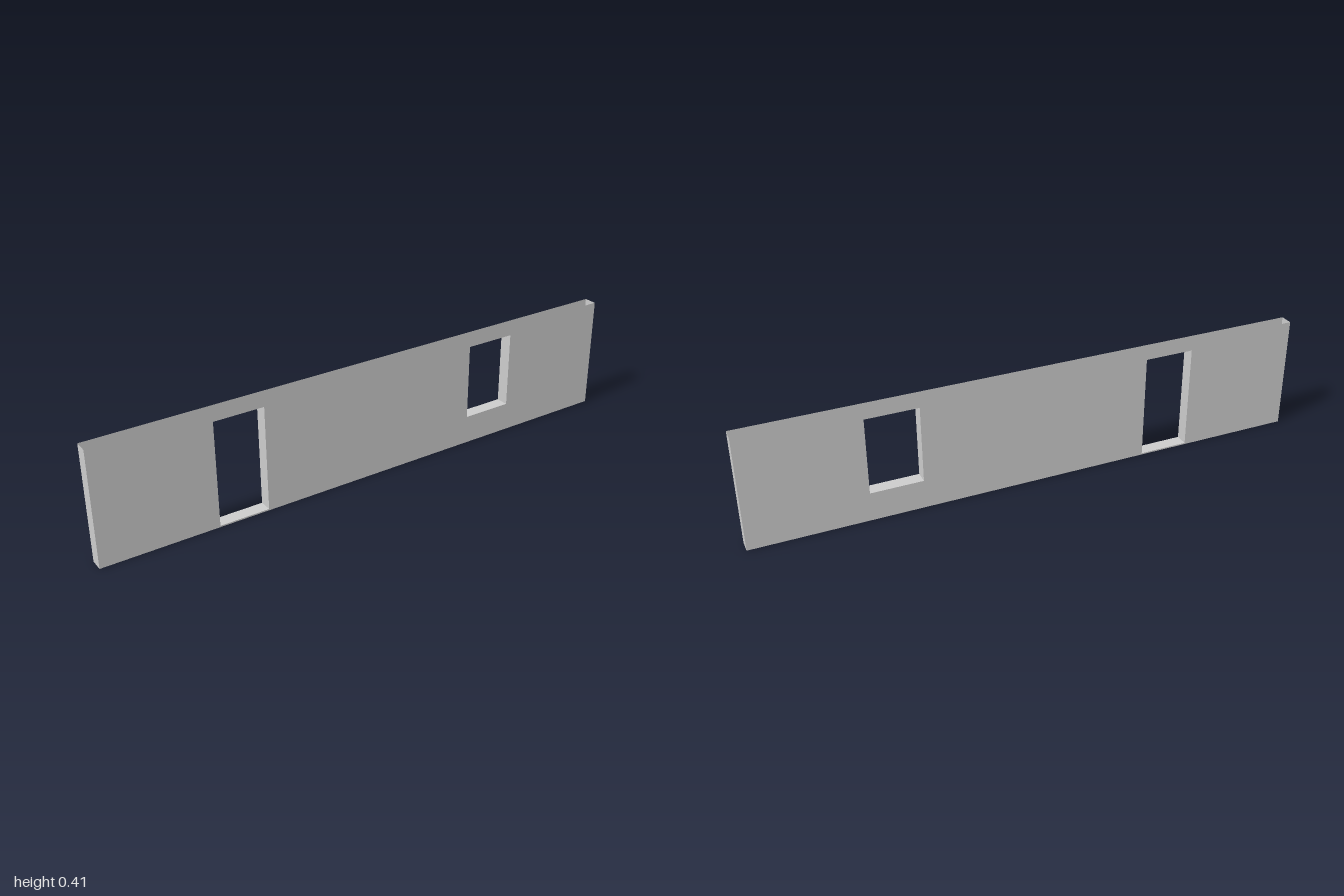
import * as THREE from 'three';

const HEIGHT = 0.41, HALF = 0.0235;
const OPENINGS = [
  { name: 'door', x0: -0.592, x1: -0.414, y0: 0.005, y1: 0.379 },
  { name: 'window', x0: 0.406, x1: 0.59, y0: 0.104, y1: 0.378 },
];

export function createModel() {
  const group = new THREE.Group();
  group.name = 'wall';
  const material = new THREE.MeshStandardMaterial({
    color: 0xcccccc, flatShading: true, side: THREE.DoubleSide,
  });

  const add = (name, geometry, parent = group) => {
    const mesh = new THREE.Mesh(geometry, material);
    mesh.name = name;
    parent.add(mesh);
    return mesh;
  };

  const rectangle = (Type, { x0, x1, y0, y1 }) => new Type([
    new THREE.Vector2(x0, y0), new THREE.Vector2(x1, y0),
    new THREE.Vector2(x1, y1), new THREE.Vector2(x0, y1),
  ]);

  // Upright strip across the wall thickness, facing left or right
  const upright = (name, x, y0, y1, facing, parent) => {
    const g = new THREE.PlaneGeometry(2 * HALF, y1 - y0).rotateY(facing * Math.PI / 2);
    add(name, g, parent).position.set(x, (y0 + y1) / 2, 0);
  };

  // Level strip across the wall thickness, facing up or down
  const level = (name, y, x0, x1, facing, parent) => {
    const g = new THREE.PlaneGeometry(x1 - x0, 2 * HALF).rotateX(-facing * Math.PI / 2);
    add(name, g, parent).position.set((x0 + x1) / 2, y, 0);
  };

  // Front and back panels, pierced by the openings
  const panel = rectangle(THREE.Shape, { x0: -1, x1: 1, y0: 0, y1: HEIGHT });
  for (const o of OPENINGS) panel.holes.push(rectangle(THREE.Path, o));
  add('frontPanel', new THREE.ShapeGeometry(panel)).position.z = HALF;
  add('backPanel', new THREE.ShapeGeometry(panel)).position.z = -HALF;

  // End caps; the hollow wall stays open at top and bottom
  upright('leftEnd', 1, 0, HEIGHT, 1);
  upright('rightEnd', -1, 0, HEIGHT, -1);

  // Linings of the door and window openings
  for (const { name, x0, x1, y0, y1 } of OPENINGS) {
    const lining = new THREE.Group();
    lining.name = name + 'Lining';
    group.add(lining);
    upright(name + 'RightJamb', x0, y0, y1, 1, lining);
    upright(name + 'LeftJamb', x1, y0, y1, -1, lining);
    level(name + 'Sill', y0, x0, x1, 1, lining);
    level(name + 'Lintel', y1, x0, x1, -1, lining);
  }

  // The wall runs very slightly askew
  group.rotation.y = -0.0025;
  return group;
}
